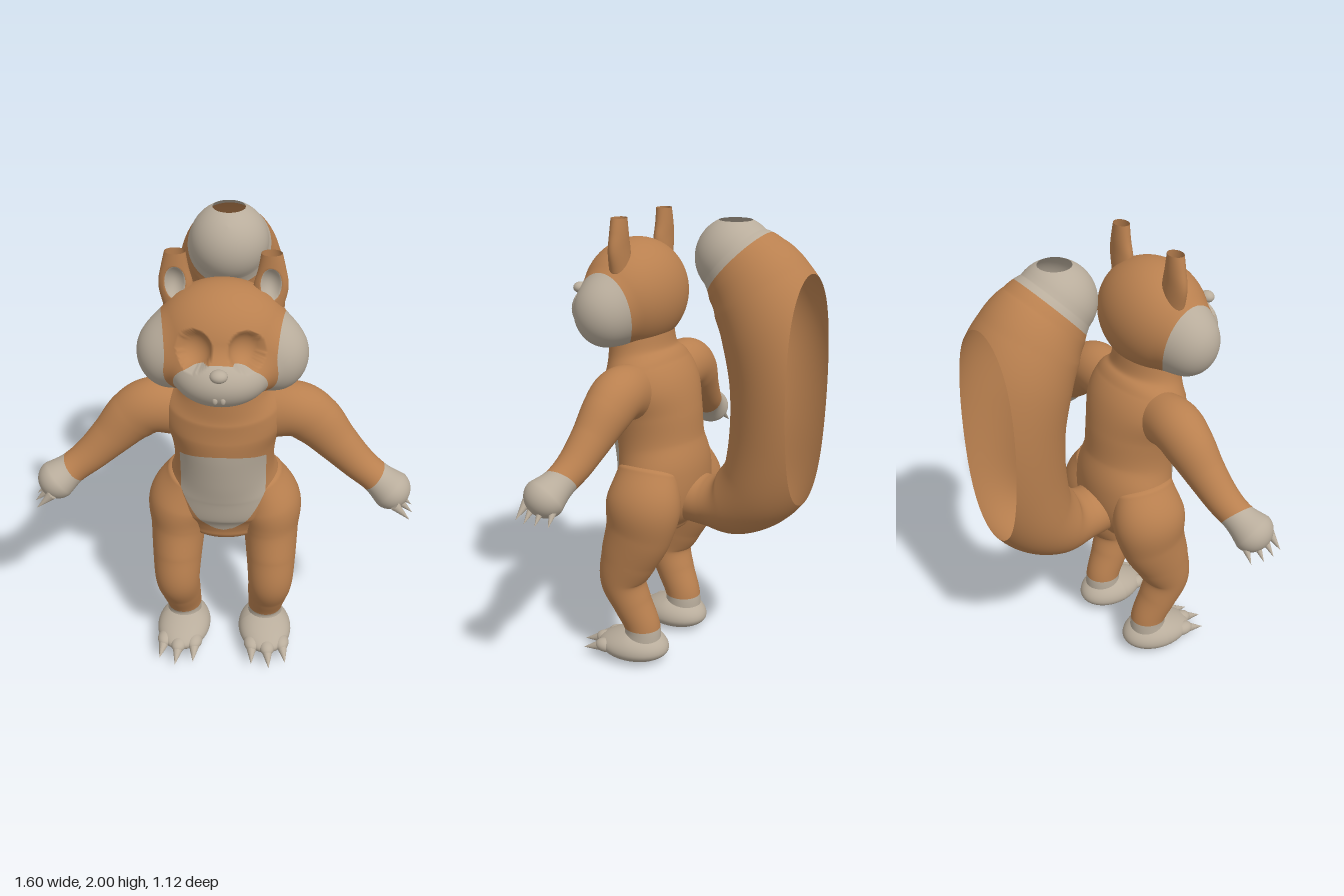
import * as THREE from 'three';
import { mergeVertices } from 'three/addons/utils/BufferGeometryUtils.js';

const fur = new THREE.MeshStandardMaterial({ name: 'orange fur', color: 0xb9804f, side: THREE.DoubleSide });
const pale = new THREE.MeshStandardMaterial({ name: 'pale fur', color: 0xb9ad9c, side: THREE.DoubleSide });
const V = (x, y, z) => new THREE.Vector3(x, y, z);
const X = V(1, 0, 0), Z = V(0, 0, 1);

// Smooth tube through sections [x, y, z, radiusA, radiusB] with rounded ends.
function loft(sections, { ref = X, cap = 1, rings = 72, sides = 56 } = {}) {
  const path = new THREE.CatmullRomCurve3(sections.map(s => V(s[0], s[1], s[2])), false, 'catmullrom');
  const radii = new THREE.CatmullRomCurve3(sections.map(s => V(s[3], s[4], 0)), false, 'catmullrom');
  const pos = [], index = [], capRings = 12, rows = rings + 2 * capRings;
  for (let j = 0; j <= rows; j++) {
    const t = THREE.MathUtils.clamp((j - capRings) / rings, 0, 1);
    const c = path.getPoint(t), r = radii.getPoint(t), T = path.getTangent(t);
    const over = j < capRings ? j / capRings - 1 : Math.max(0, (j - capRings - rings) / capRings);
    const a = over * Math.PI / 2, shrink = Math.max(Math.cos(a), 0.002);
    c.addScaledVector(T, Math.sin(a) * Math.min(r.x, r.y) * cap);
    const side = ref.clone().addScaledVector(T, -T.dot(ref)).normalize();
    const up = T.clone().cross(side);
    for (let i = 0; i < sides; i++) {
      const u = i / sides * Math.PI * 2;
      const p = c.clone().addScaledVector(side, r.x * shrink * Math.cos(u))
        .addScaledVector(up, r.y * shrink * Math.sin(u));
      pos.push(p.x, p.y, p.z);
      if (j < rows) {
        const n = (i + 1) % sides, k = j * sides, m = k + sides;
        index.push(k + i, k + n, m + i, k + n, m + n, m + i);
      }
    }
  }
  const g = new THREE.BufferGeometry();
  g.setAttribute('position', new THREE.Float32BufferAttribute(pos, 3));
  g.setIndex(index);
  g.computeVertexNormals();
  return g;
}

// Keeps the part of a surface where f(point) > 0, cutting triangles cleanly.
function clip(geometry, f) {
  const g = geometry.index ? geometry.toNonIndexed() : geometry;
  const P = g.attributes.position, N = g.attributes.normal, pos = [], nor = [];
  for (let i = 0; i < P.count; i += 3) {
    const tri = [0, 1, 2].map(k => {
      const p = V().fromBufferAttribute(P, i + k);
      return { p, n: V().fromBufferAttribute(N, i + k), d: f(p) };
    });
    const poly = [];
    tri.forEach((a, k) => {
      const b = tri[(k + 1) % 3];
      if (a.d > 0) poly.push(a);
      if ((a.d > 0) !== (b.d > 0)) {
        const t = a.d / (a.d - b.d);
        poly.push({ p: a.p.clone().lerp(b.p, t), n: a.n.clone().lerp(b.n, t) });
      }
    });
    for (let k = 1; k + 1 < poly.length; k++)
      for (const v of [poly[0], poly[k], poly[k + 1]]) {
        pos.push(v.p.x, v.p.y, v.p.z);
        nor.push(v.n.x, v.n.y, v.n.z);
      }
  }
  const out = new THREE.BufferGeometry();
  out.setAttribute('position', new THREE.Float32BufferAttribute(pos, 3));
  out.setAttribute('normal', new THREE.Float32BufferAttribute(nor, 3));
  return out;
}

function add(parent, name, geometry, material) {
  const m = new THREE.Mesh(geometry, material);
  m.name = name;
  parent.add(m);
  return m;
}

// Adds one surface as two meshes, pale where f > 0.
function addTwoTone(parent, name, geometry, f) {
  add(parent, name, clip(geometry, p => -f(p)), fur);
  add(parent, name + 'Pale', clip(geometry, f), pale);
}

function ball(parent, name, c, r, material) {
  const m = add(parent, name, new THREE.SphereGeometry(1, 28, 20), material);
  m.position.set(...c);
  m.scale.set(...r);
  return m;
}

function claw(parent, a, b, r) {
  const from = V(...a), to = V(...b), dir = to.clone().sub(from);
  const m = add(parent, 'claw', new THREE.ConeGeometry(r, dir.length(), 14), pale);
  m.position.copy(from).addScaledVector(dir, 0.5);
  m.quaternion.setFromUnitVectors(V(0, 1, 0), dir.normalize());
}

// Head: a ball moved onto a blend of cranium, cheeks and muzzle, with hollow eye sockets.
function headGeometry() {
  const blobs = [
    [V(0, 1.66, 0.24), V(0.27, 0.235, 0.21)],
    [V(0.2, 1.61, 0.268), V(0.135, 0.15, 0.135)],
    [V(0, 1.58, 0.37), V(0.19, 0.125, 0.163)],
  ];
  const smin = (a, b, k) => {
    const h = Math.max(k - Math.abs(a - b), 0) / k;
    return Math.min(a, b) - h * h * k / 4;
  };
  const socket = V(0.107, 1.717, 0.458), q = V();
  const field = p => {
    const m = V(Math.abs(p.x), p.y, p.z);
    const d = blobs.map(([c, r]) => (q.copy(m).sub(c).divide(r).length() - 1) * Math.min(r.x, r.y, r.z));
    return Math.max(smin(smin(d[0], d[1], 0.04), d[2], 0.04), 0.078 - m.distanceTo(socket));
  };
  let g = new THREE.SphereGeometry(1, 160, 110);
  g.deleteAttribute('uv');
  g.deleteAttribute('normal');
  g = mergeVertices(g, 1e-5);
  const P = g.attributes.position, C = V(0, 1.65, 0.26), p = V();
  for (let i = 0; i < P.count; i++) {
    const dir = V().fromBufferAttribute(P, i).normalize();
    const at = r => field(p.copy(C).addScaledVector(dir, r));
    let hi = 0.42;
    while (hi > 0.02 && at(hi) > 0) hi -= 0.006;
    let lo = hi;
    hi += 0.006;
    for (let k = 0; k < 8; k++) {
      const mid = (lo + hi) / 2;
      if (at(mid) > 0) hi = mid; else lo = mid;
    }
    p.copy(C).addScaledVector(dir, lo);
    P.setXYZ(i, p.x, p.y, p.z);
  }
  g.computeVertexNormals();
  return g;
}

export function createModel() {
  const model = new THREE.Group();
  model.name = 'bushyTailedAnimal';

  // Torso with belly patch
  const torso = loft([
    [0, 0.66, 0.115, 0.17, 0.12], [0, 0.76, 0.1, 0.25, 0.175], [0, 0.9, 0.105, 0.245, 0.195],
    [0, 1.02, 0.13, 0.212, 0.195], [0, 1.15, 0.147, 0.22, 0.2], [0, 1.26, 0.165, 0.25, 0.193],
    [0, 1.35, 0.19, 0.235, 0.168], [0, 1.42, 0.208, 0.18, 0.14], [0, 1.52, 0.215, 0.16, 0.13],
  ], { cap: 0.5, rings: 90, sides: 72 });
  addTwoTone(model, 'torso', torso, p => p.z < 0.1 ? -1 : Math.min(
    0.18 * Math.sqrt(THREE.MathUtils.clamp((p.y - 0.7) / 0.22, 0, 1)) - Math.abs(p.x),
    1.16 - 1.2 * p.x * p.x - p.y, p.y - 0.699));

  // Head with cheek patches and muzzle mask
  addTwoTone(model, 'head', headGeometry(), p => {
    const cheek = Math.min(1 - ((p.z - 0.265) / 0.14) ** 2 - ((p.y - 1.61) / 0.168) ** 2, (Math.abs(p.x) - 0.14) * 8);
    const muzzle = 1 - (p.x / 0.2) ** 2 - ((p.y - 1.545) / 0.125) ** 2 - ((p.z - 0.49) / 0.16) ** 2;
    return Math.max(cheek, muzzle);
  });
  ball(model, 'nose', [0, 1.652, 0.53], [0.034, 0.025, 0.03], pale);

  // Tail: hollow, open at the tip and along the flat back
  let tail = loft([
    [0, 0.78, 0, 0.12, 0.115], [0, 0.77, -0.13, 0.13, 0.112], [0, 0.8, -0.26, 0.17, 0.155],
    [0, 0.92, -0.39, 0.205, 0.19], [0, 1.12, -0.46, 0.225, 0.22], [0, 1.36, -0.475, 0.238, 0.235],
    [0, 1.58, -0.43, 0.238, 0.235], [0, 1.72, -0.355, 0.215, 0.22], [0, 1.8, -0.285, 0.185, 0.195],
    [0, 1.85, -0.232, 0.165, 0.165],
  ], { rings: 100, sides: 64 });
  tail = clip(clip(tail, p => p.z + 0.565), p => 2 - p.y);
  addTwoTone(model, 'tail', tail, p => (p.z + 0.15) * 0.25 - (1.71 - p.y) * 0.23 > -1
    ? (p.z + 0.38) * 0.25 + (p.y - 1.96) * 0.23 : -1);

  for (const s of [-1, 1]) {
    const side = s > 0 ? 'left' : 'right';

    // Ear: dished at the front, open at the top
    const ear = loft([
      [s * 0.17, 1.79, 0.21, 0.062, 0.04], [s * 0.182, 1.87, 0.208, 0.066, 0.036],
      [s * 0.184, 1.94, 0.206, 0.052, 0.034], [s * 0.18, 2.03, 0.206, 0.034, 0.03],
    ], { cap: 0.5 });
    const inner = p => p.z < 0.18 ? -1 : 1 - ((p.x - s * 0.182) / 0.04) ** 2 - ((p.y - 1.885) / 0.065) ** 2;
    const E = ear.attributes.position, v = V();
    for (let i = 0; i < E.count; i++) {
      v.fromBufferAttribute(E, i);
      if (v.z > 0.205) E.setZ(i, v.z - 0.03 * Math.max(0, inner(v)));
    }
    ear.computeVertexNormals();
    addTwoTone(model, side + 'Ear', clip(ear, p => 2 - p.y), p => p.z < 0.2 ? -1 : inner(p));

    // Front tooth
    ball(model, side + 'Tooth', [s * 0.015, 1.542, 0.522], [0.011, 0.018, 0.01], pale);

    // Arm and hand
    const arm = loft([
      [s * 0.16, 1.27, 0.155, 0.1, 0.12], [s * 0.29, 1.285, 0.155, 0.11, 0.118], [s * 0.38, 1.235, 0.16, 0.102, 0.112],
      [s * 0.47, 1.145, 0.178, 0.085, 0.09], [s * 0.56, 1.06, 0.2, 0.074, 0.074],
      [s * 0.64, 1.002, 0.225, 0.07, 0.068], [s * 0.705, 0.957, 0.25, 0.092, 0.084],
    ], { ref: Z, cap: 0.95 });
    addTwoTone(model, side + 'Arm', arm, p => (s * p.x - 0.63) * 0.8 - (p.y - 1.005) * 0.6);
    for (const z of [0.195, 0.24, 0.285, 0.328]) {
      const edge = Math.abs(z - 0.26) * 0.35;
      claw(model, [s * (0.742 - edge), 0.93, z], [s * (0.808 - edge), 0.868, z + (z - 0.26) * 0.2], 0.022);
    }

    // Leg with pale ankle
    const leg = loft([
      [s * 0.19, 0.09, 0.12, 0.08, 0.09], [s * 0.19, 0.18, 0.12, 0.079, 0.082], [s * 0.2, 0.29, 0.165, 0.09, 0.088],
      [s * 0.21, 0.4, 0.202, 0.1, 0.106], [s * 0.21, 0.52, 0.168, 0.11, 0.132], [s * 0.205, 0.65, 0.12, 0.122, 0.155],
      [s * 0.195, 0.78, 0.1, 0.138, 0.17], [s * 0.155, 0.91, 0.1, 0.1, 0.14],
    ], { cap: 0.4 });
    addTwoTone(model, side + 'Leg', leg, p => 0.172 - p.y);

    // Foot: an egg that flattens towards the toes
    const foot = new THREE.Group();
    foot.name = side + 'Foot';
    foot.position.set(s * 0.185, 0, 0.12);
    foot.rotation.y = s * 0.1;
    model.add(foot);
    const sole = new THREE.SphereGeometry(1, 40, 28), S = sole.attributes.position;
    for (let i = 0; i < S.count; i++) {
      const z = S.getZ(i), y = S.getY(i);
      const high = y > 0 ? 0.088 - 0.035 * Math.max(0, z) : 0.068;
      S.setXYZ(i, S.getX(i) * 0.122, 0.07 + y * high, 0.045 + z * 0.168);
    }
    sole.computeVertexNormals();
    add(foot, 'sole', sole, pale);
    for (const k of [-1, 0, 1]) {
      const z = 0.185 - Math.abs(k) * 0.03;
      ball(foot, 'toe', [k * 0.068, 0.07, z], [0.036, 0.032, 0.05], pale);
      claw(foot, [k * 0.07, 0.066, z + 0.02], [k * 0.078, 0.04, z + 0.11], 0.027);
    }
  }
  return model;
}
